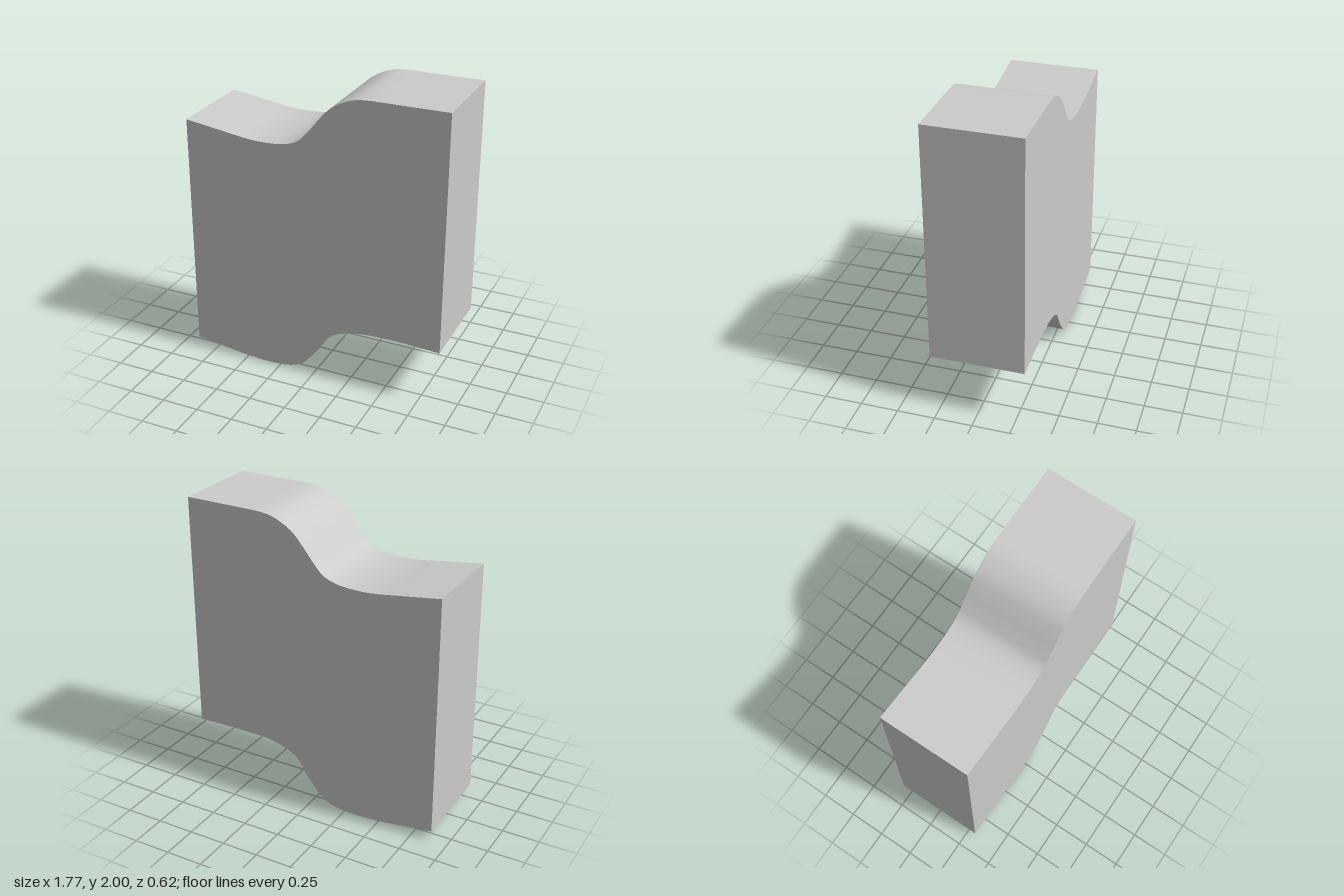
import * as THREE from 'three';
import { toCreasedNormals } from 'three/addons/utils/BufferGeometryUtils.js';

const DEPTH = 0.62;

// S-shaped edges, bottom from left to right and top from right to left
const BOTTOM = [
  [-0.885, 0.06], [-0.6, 0.02], [-0.45, 0.005], [-0.33, 0], [-0.2, 0.01], [-0.1, 0.045], [-0.04, 0.1],
  [0.04, 0.2], [0.1, 0.295], [0.17, 0.345], [0.25, 0.372], [0.38, 0.395], [0.6, 0.4], [0.88, 0.388],
];
const TOP = [
  [0.885, 2], [0.6, 1.998], [0.38, 1.996], [0.28, 1.985], [0.2, 1.955], [0.12, 1.905], [0.05, 1.83],
  [-0.03, 1.73], [-0.1, 1.66], [-0.2, 1.625], [-0.33, 1.615], [-0.45, 1.62], [-0.6, 1.64], [-0.885, 1.68],
];

function addEdge(shape, points) {
  shape.splineThru(points.slice(1).map(([x, y]) => new THREE.Vector2(x, y)));
}

export function createModel() {
  const group = new THREE.Group();
  group.name = 'wavyBlock';

  // Outline: wavy bottom, straight right side, wavy top, straight left side
  const outline = new THREE.Shape();
  outline.moveTo(...BOTTOM[0]);
  addEdge(outline, BOTTOM);
  outline.lineTo(...TOP[0]);
  addEdge(outline, TOP);
  outline.closePath();

  // Solid block with smooth waves and sharp rims
  const extruded = new THREE.ExtrudeGeometry(outline, { depth: DEPTH, bevelEnabled: false, curveSegments: 5 });
  extruded.translate(0, 0, -DEPTH / 2);
  const block = new THREE.Mesh(
    toCreasedNormals(extruded, Math.PI / 5),
    new THREE.MeshStandardMaterial({ color: 0xcccccc }),
  );
  block.name = 'block';
  group.add(block);
  return group;
}
